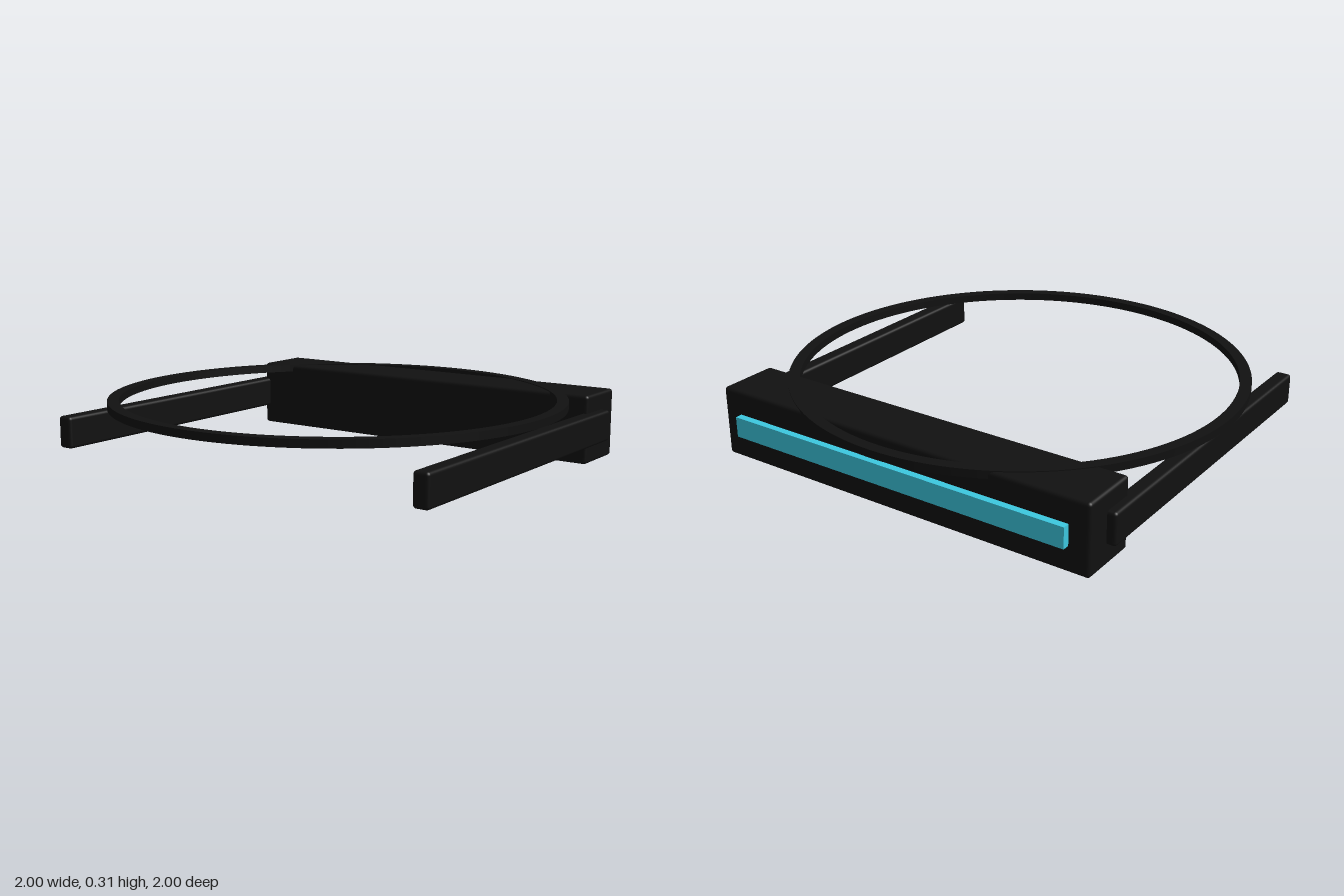
import * as THREE from 'three';
import { RoundedBoxGeometry } from 'three/addons/geometries/RoundedBoxGeometry.js';

export function createModel() {
  const model = new THREE.Group();
  model.name = 'visorHeadset';

  const black = new THREE.MeshStandardMaterial({ color: 0x111111 });
  black.name = 'matte black';
  const cyan = new THREE.MeshStandardMaterial({ color: 0x3cc8e0 });
  cyan.name = 'cyan lens';

  const add = (name, geometry, material, x, y, z) => {
    const mesh = new THREE.Mesh(geometry, material);
    mesh.name = name;
    mesh.position.set(x, y, z);
    model.add(mesh);
    return mesh;
  };

  // Visor housing with softened edges, across the back
  add('visorHousing', new RoundedBoxGeometry(1.81, 0.308, 0.27, 3, 0.015), black, 0, 0.154, -0.75);

  // Glowing lens strip standing proud of the housing
  add('lensStrip', new THREE.BoxGeometry(1.63, 0.09, 0.06), cyan, 0, 0.157, -0.886);

  // Side arms
  for (const side of [-1, 1]) {
    add(side > 0 ? 'leftArm' : 'rightArm',
      new RoundedBoxGeometry(0.07, 0.14, 1.54, 3, 0.014), black, side * 0.909, 0.159, 0);
  }

  // Flat head band: square section turned around the vertical axis
  const band = new THREE.Shape().absarc(0, 0, 1, 0, Math.PI * 2);
  band.holes.push(new THREE.Path().absarc(0, 0, 0.95, 0, Math.PI * 2, true));
  const bandGeometry = new THREE.ExtrudeGeometry(band, { depth: 0.034, bevelEnabled: false, curveSegments: 64 });
  bandGeometry.rotateX(-Math.PI / 2);
  add('headBand', bandGeometry, black, 0, 0.278, 0);

  return model;
}
